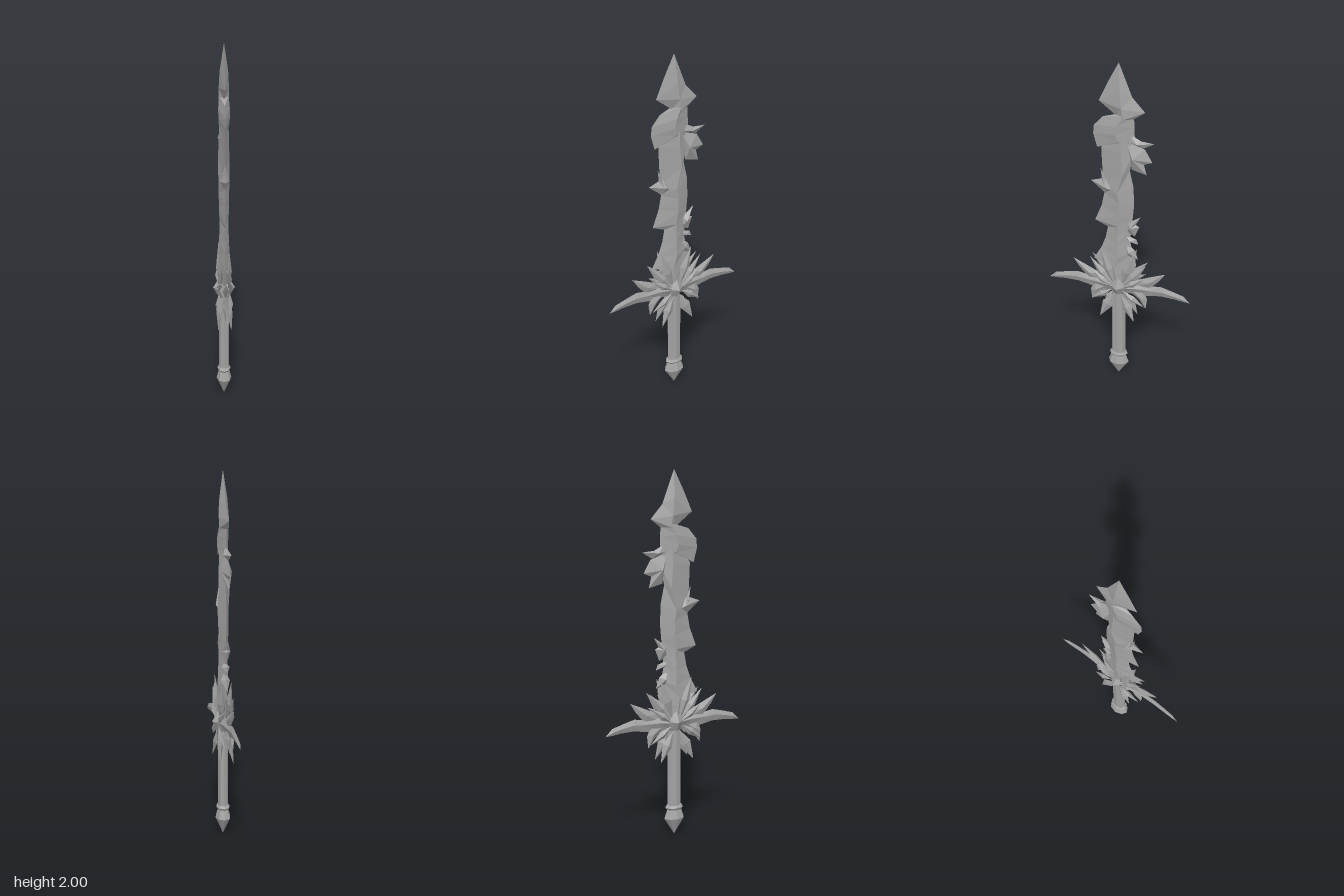
import * as THREE from 'three';

const steel = new THREE.MeshStandardMaterial({ color: 0xa3a3a3, flatShading: true });
steel.name = 'steel grey';

// Mesh from triangles lying on the +x side, mirrored to -x. Points are [x, y, z].
function mirrored(name, tris) {
  const pos = [];
  for (const [a, b, c] of tris) {
    const nx = (b[1] - a[1]) * (c[2] - a[2]) - (b[2] - a[2]) * (c[1] - a[1]);
    const t = nx >= 0 ? [a, b, c] : [a, c, b];
    for (const p of t) pos.push(...p);
    for (const p of [t[0], t[2], t[1]]) pos.push(-p[0], p[1], p[2]);
  }
  const geo = new THREE.BufferGeometry();
  geo.setAttribute('position', new THREE.Float32BufferAttribute(pos, 3));
  geo.computeVertexNormals();
  const mesh = new THREE.Mesh(geo, steel);
  mesh.name = name;
  return mesh;
}

// Sharp-edged strip: each row is [edge z, y, ridge z, y, thickness, other edge z, y].
function ridgedStrip(name, rows) {
  const tris = [];
  const pts = rows.map(([az, ay, sz, sy, t, bz, by]) => [[0, ay, az], [t, sy, sz], [0, by, bz]]);
  for (let i = 0; i + 1 < pts.length; i++) {
    const p = pts[i], q = pts[i + 1];
    for (let k = 0; k < 2; k++) {
      tris.push([p[k], p[k + 1], q[k]], [p[k + 1], q[k + 1], q[k]]);
    }
  }
  return mirrored(name, tris);
}

// Sharp-edged shard: outline of [z, y] points rising to a raised apex.
function shard(name, outline, [az, ay], t) {
  return mirrored(name, outline.map(([z, y], i) => {
    const [z2, y2] = outline[(i + 1) % outline.length];
    return [[0, y, z], [0, y2, z2], [t, ay, az]];
  }));
}

// Kite-shaped crystal standing off both faces of the guard.
function petal(name, base, tip, width, x0, xTip, t) {
  const dz = tip[0] - base[0], dy = tip[1] - base[1], len = Math.hypot(dz, dy);
  const mz = base[0] + dz * 0.45, my = base[1] + dy * 0.45;
  const wz = -dy / len * width, wy = dz / len * width;
  const rim = [
    [x0, base[1], base[0]], [x0, my + wy, mz + wz],
    [xTip, tip[1], tip[0]], [x0, my - wy, mz - wz],
  ];
  const outer = [x0 + t, my, mz], inner = [x0 - t, my, mz];
  const group = new THREE.Group();
  group.name = name;
  const outerTris = rim.map((p, i) => [p, rim[(i + 1) % 4], outer]);
  group.add(mirrored(name + 'Outer', outerTris));
  // Inner faces look back toward the blade plane
  const back = mirrored(name + 'Inner', rim.map((p, i) => [p, rim[(i + 1) % 4], inner]));
  const pos = back.geometry.attributes.position;
  for (let i = 0; i < pos.count; i += 3) {
    const b = new THREE.Vector3().fromBufferAttribute(pos, i + 1);
    const c = new THREE.Vector3().fromBufferAttribute(pos, i + 2);
    pos.setXYZ(i + 1, c.x, c.y, c.z);
    pos.setXYZ(i + 2, b.x, b.y, b.z);
  }
  back.geometry.computeVertexNormals();
  group.add(back);
  return group;
}

export function createModel() {
  const sword = new THREE.Group();
  sword.name = 'crystalSword';

  // Blade
  sword.add(ridgedStrip('bladeTip', [
    [0, 2, 0, 2, 0, 0, 2],
    [0.06, 1.88, -0.01, 1.85, 0.022, -0.07, 1.82],
    [0.106, 1.777, -0.02, 1.76, 0.027, -0.138, 1.745],
    [0.016, 1.708, -0.03, 1.7, 0.027, -0.08, 1.7],
  ]));
  sword.add(ridgedStrip('upperBlade', [
    [0.02, 1.71, -0.03, 1.72, 0.025, -0.08, 1.71],
    [0.085, 1.69, 0, 1.66, 0.03, -0.083, 1.65],
    [0.133, 1.634, 0.01, 1.61, 0.03, -0.085, 1.59],
    [0.138, 1.585, 0, 1.57, 0.027, -0.08, 1.56],
    [0.117, 1.507, 0.005, 1.56, 0.024, -0.075, 1.54],
  ]));
  sword.add(ridgedStrip('middleBlade', [
    [0.03, 1.58, -0.02, 1.58, 0.024, -0.07, 1.58],
    [0.095, 1.51, -0.02, 1.5, 0.027, -0.08, 1.5],
    [0.09, 1.395, -0.03, 1.38, 0.03, -0.06, 1.395],
    [0.085, 1.3, 0.0, 1.26, 0.03, -0.08, 1.3],
    [0.08, 1.236, -0.01, 1.2, 0.028, -0.085, 1.19],
    [0.095, 1.157, -0.01, 1.12, 0.027, -0.077, 1.1],
    [0.133, 1.055, 0, 1.05, 0.025, -0.075, 1.05],
    [0.053, 1.02, 0, 1.0, 0.024, -0.07, 1.01],
  ]));
  sword.add(ridgedStrip('lowerBlade', [
    [0.06, 1.03, 0, 1.04, 0.022, -0.07, 1.05],
    [0.075, 0.95, 0, 0.93, 0.027, -0.065, 0.95],
    [0.1, 0.88, 0, 0.85, 0.03, -0.08, 0.88],
    [0.143, 0.8, 0.02, 0.78, 0.03, -0.1, 0.8],
    [0.08, 0.8, 0.01, 0.72, 0.03, -0.08, 0.74],
    [0.05, 0.64, 0, 0.64, 0.03, -0.05, 0.64],
  ]));

  // Broken splinters along the blade edges
  const splinters = [
    [[[0.07, 1.33], [0.154, 1.3], [0.075, 1.236], [0, 1.25]], [0.06, 1.28], 0.026],
    [[[0.06, 1.29], [0.1, 1.385], [0.085, 1.24], [0.04, 1.24]], [0.075, 1.29], 0.02],
    [[[-0.06, 1.61], [-0.12, 1.58], [-0.19, 1.575], [-0.13, 1.54], [-0.03, 1.575]], [-0.1, 1.568], 0.022],
    [[[-0.04, 1.57], [-0.14, 1.535], [-0.18, 1.464], [-0.135, 1.445], [-0.15, 1.385], [-0.07, 1.405]], [-0.08, 1.48], 0.03],
    [[[-0.05, 1.07], [-0.122, 1.12], [-0.095, 1.065], [-0.115, 1.055], [-0.09, 0.99], [-0.04, 1.01]], [-0.07, 1.05], 0.025],
    [[[-0.04, 0.99], [-0.1, 0.97], [-0.11, 0.94], [-0.05, 0.955]], [-0.065, 0.965], 0.022],
    [[[-0.04, 0.94], [-0.09, 0.9], [-0.11, 0.84], [-0.05, 0.85]], [-0.06, 0.89], 0.025],
  ];
  splinters.forEach(([outline, apex, t], i) =>
    sword.add(shard('bladeSplinter' + (i + 1), outline, apex, t)));

  // Guard, the same on both sides
  for (const s of [1, -1]) {
    const side = s > 0 ? 'front' : 'back';
    sword.add(ridgedStrip(side + 'GuardWing', [
      [0, 0.69, 0, 0.64, 0.028, 0, 0.59],
      [0.1, 0.68, 0.1, 0.65, 0.018, 0.1, 0.605],
      [0.18, 0.675, 0.18, 0.65, 0.012, 0.16, 0.605],
      [0.24, 0.685, 0.25, 0.655, 0.011, 0.24, 0.62],
      [0.3, 0.67, 0.31, 0.645, 0.01, 0.32, 0.618],
      [0.37, 0.65, 0.37, 0.63, 0.008, 0.37, 0.612],
      [0.41, 0.61, 0.41, 0.61, 0, 0.41, 0.61],
    ].map(([a, b, c, d, t, e, f]) => [a * s, b, c * s, d, t, e * s, f])));
    const flip = list => list.map(([z, y]) => [z * s, y]);
    sword.add(shard(side + 'UpperGuardSpike',
      flip([[0.1, 0.7], [0.19, 0.742], [0.265, 0.775], [0.23, 0.72], [0.17, 0.65], [0.08, 0.65]]), [0.17 * s, 0.7], 0.016));
    sword.add(shard(side + 'LowerGuardSpike',
      flip([[0.05, 0.64], [0.14, 0.64], [0.165, 0.58], [0.157, 0.51], [0.12, 0.565]]), [0.13 * s, 0.59], 0.016));

    // Crystal petals around the gem
    const petals = [
      [[0.02, 0.66], [0.095, 0.89], 0.03, 0.022, 0.025, 0.018],
      [[0.03, 0.66], [0.16, 0.82], 0.026, 0.025, 0.02, 0.015],
      [[0.03, 0.65], [0.15, 0.735], 0.022, 0.03, 0.024, 0.015],
      [[0.03, 0.63], [0.155, 0.535], 0.022, 0.03, 0.022, 0.015],
      [[0.02, 0.6], [0.1, 0.43], 0.032, 0.028, 0.036, 0.016],
    ];
    petals.forEach(([base, tip, w, x0, xt, t], i) => sword.add(petal(
      side + 'GuardPetal' + (i + 1), [base[0] * s, base[1]], [tip[0] * s, tip[1]], w, x0, xt, t)));
  }

  // Gem
  sword.add(shard('guardGem', [[0, 0.755], [0.045, 0.69], [0.07, 0.65], [0.04, 0.6],
    [0, 0.546], [-0.04, 0.6], [-0.07, 0.65], [-0.045, 0.69]], [0, 0.65], 0.06));

  // Handle with collar and pointed pommel
  const turned = (name, profile) => {
    const points = profile.map(([r, y]) => new THREE.Vector2(r, y));
    const mesh = new THREE.Mesh(new THREE.LatheGeometry(points, 8), steel);
    mesh.scale.x = 0.7;
    mesh.name = name;
    sword.add(mesh);
  };
  turned('handle', [[0.041, 0.15], [0.041, 0.6]]);
  turned('collar', [[0.03, 0.14], [0.044, 0.145], [0.054, 0.157], [0.044, 0.17], [0.03, 0.172]]);
  turned('pommel', [[0, 0], [0.06, 0.095], [0.042, 0.145], [0, 0.147]]);

  return sword;
}
